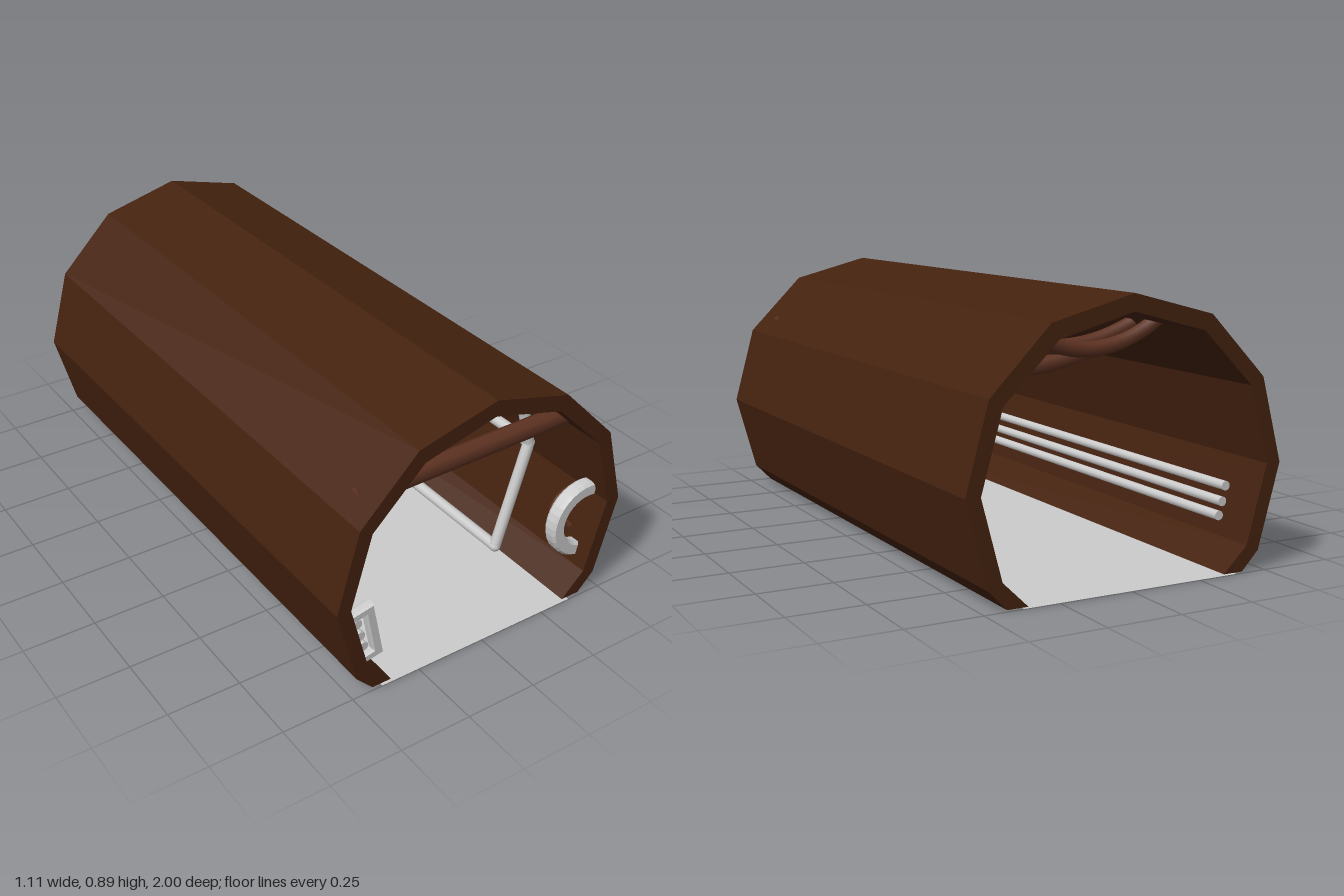
import * as THREE from 'three';

const mat = (color, flat = true) =>
  new THREE.MeshStandardMaterial({ color, flatShading: flat, side: THREE.DoubleSide });
const V = (x, y, z) => new THREE.Vector3(x, y, z);

export function createModel() {
  const root = new THREE.Group();
  const shellMat = mat(0x45220f), hoseMat = mat(0x5e3222, false), grey = mat(0xcccccc, false);

  const add = (name, geo, material, parent = root) => {
    const m = new THREE.Mesh(geo, material);
    m.name = name;
    parent.add(m);
    return m;
  };
  // straight rod between two points
  const rod = (name, a, b, r, material = grey, sides = 10, parent = root) => {
    const m = add(name, new THREE.CylinderGeometry(r, r, a.distanceTo(b), sides), material, parent);
    m.position.copy(a).lerp(b, 0.5);
    m.quaternion.setFromUnitVectors(V(0, 1, 0), b.clone().sub(a).normalize());
    return m;
  };

  // tunnel shell: faceted arch with a gap at the bottom
  const outer = [[0, 0.89], [0.28, 0.817], [0.48, 0.615], [0.555, 0.34], [0.48, 0.065], [0.42, 0.003]];
  const inner = [[0.35, 0.003], [0.435, 0.085], [0.505, 0.34], [0.435, 0.59], [0.255, 0.768], [0, 0.836]];
  const half = [...outer, ...inner];
  const mirrored = half.slice(1, -1).map(([x, y]) => [-x, y]).reverse();
  const innerLeft = mirrored.slice(0, 5), outerLeft = mirrored.slice(5);
  const outline = [...half, ...innerLeft, ...outerLeft].map(([x, y]) => new THREE.Vector2(x, y));
  const shell = new THREE.ExtrudeGeometry(new THREE.Shape(outline), { depth: 1.98, bevelEnabled: false });
  add('tunnelShell', shell.translate(0, 0, -0.99), shellMat);

  // floor sheet
  const floor = add('floor', new THREE.PlaneGeometry(0.76, 2), grey);
  floor.rotation.x = -Math.PI / 2;
  floor.position.set(-0.01, 0.002, 0);

  // straight ceiling beam near the front
  rod('ceilingBeam', V(-0.43, 0.645, 0.88), V(0.43, 0.645, 0.86), 0.033, hoseMat, 8);

  // hoses sagging from wall to wall
  const sag = (w, yEnd, yMid, z, r) => {
    const pts = [-1, -0.75, -0.4, 0, 0.4, 0.75, 1].map(t => V(w * t, yMid + (yEnd - yMid) * t * t, z));
    add('saggingHose', new THREE.TubeGeometry(new THREE.CatmullRomCurve3(pts), 24, r, 8), hoseMat);
  };
  sag(0.41, 0.66, 0.575, -0.25, 0.03);
  sag(0.3, 0.77, 0.69, -0.58, 0.025);
  sag(0.26, 0.79, 0.7, -0.75, 0.025);

  // hanging chains
  const link = new THREE.TorusGeometry(0.01, 0.004, 5, 8);
  [[-0.095, -0.08], [-0.045, -0.03], [0.03, 0.01], [0.085, 0.06]].forEach(([x0, x1], c) => {
    const chain = new THREE.Group();
    chain.name = 'chain';
    root.add(chain);
    const n = 13;
    for (let i = 0; i < n; i++) {
      const t = i / (n - 1);
      const m = add('chainLink', link, grey, chain);
      m.position.set(x0 + (x1 - x0) * t, 0.825 - 0.18 * t, -0.25 - 0.05 * c);
      m.rotation.y = 0.4 + (i % 2) * Math.PI / 2;
    }
  });

  // pipe frame along the left wall
  const zs = [-0.66, 0.66];
  for (const z of zs) {
    const pts = [V(0.39, 0.64, z), V(0.45, 0.41, z), V(0.335, 0.022, z)];
    rod('framePost', pts[0], pts[1], 0.02);
    rod('frameBrace', pts[1], pts[2], 0.02);
    pts.slice(1).forEach(p => add('frameJoint', new THREE.SphereGeometry(0.021, 10, 8), grey).position.copy(p));
  }
  rod('upperRail', V(0.45, 0.41, zs[0]), V(0.45, 0.41, zs[1]), 0.02);
  rod('lowerRail', V(0.335, 0.022, zs[0]), V(0.335, 0.022, zs[1]), 0.02);

  // half rings standing out from the left wall
  const halfRing = (r, width, z, material) => {
    const s = new THREE.Shape();
    s.absarc(0, 0, r, Math.PI / 2, Math.PI * 1.5, false);
    s.absarc(0, 0, r - width, Math.PI * 1.5, Math.PI / 2, true);
    const g = new THREE.ExtrudeGeometry(s, {
      depth: 0.03, curveSegments: 8, bevelThickness: 0.01, bevelSize: 0.008, bevelSegments: 1
    });
    const m = add('wallRing', g, material);
    m.position.set(0.472, 0.25, z);
    m.rotation.z = -0.24;
  };
  halfRing(0.132, 0.035, 0.9, mat(0xcccccc));
  halfRing(0.075, 0.02, 0.85, hoseMat);

  // three pipes on the right wall, carried by a slotted bracket
  const px = [[-0.458, 0.245], [-0.446, 0.195], [-0.434, 0.15]];
  px.forEach(([x, y]) => rod('wallPipe', V(x, y, 0.96), V(x, y, -0.85), 0.016));
  const frame = new THREE.Shape([[-0.05, -0.1], [0.045, -0.1], [0.045, 0.1], [-0.05, 0.1]]
    .map(p => new THREE.Vector2(...p)));
  frame.holes.push(new THREE.Path([[-0.04, -0.08], [-0.04, 0.08], [0.02, 0.08], [0.02, -0.08]]
    .map(p => new THREE.Vector2(...p))));
  const bracketGeo = new THREE.ExtrudeGeometry(frame, {
    depth: 0.02, bevelThickness: 0.008, bevelSize: 0.004, bevelSegments: 1
  });
  const bracket = add('pipeBracket', bracketGeo, mat(0xcccccc));
  bracket.position.set(-0.432, 0.195, 0.94);
  bracket.rotation.z = 0.2;

  return root;
}
